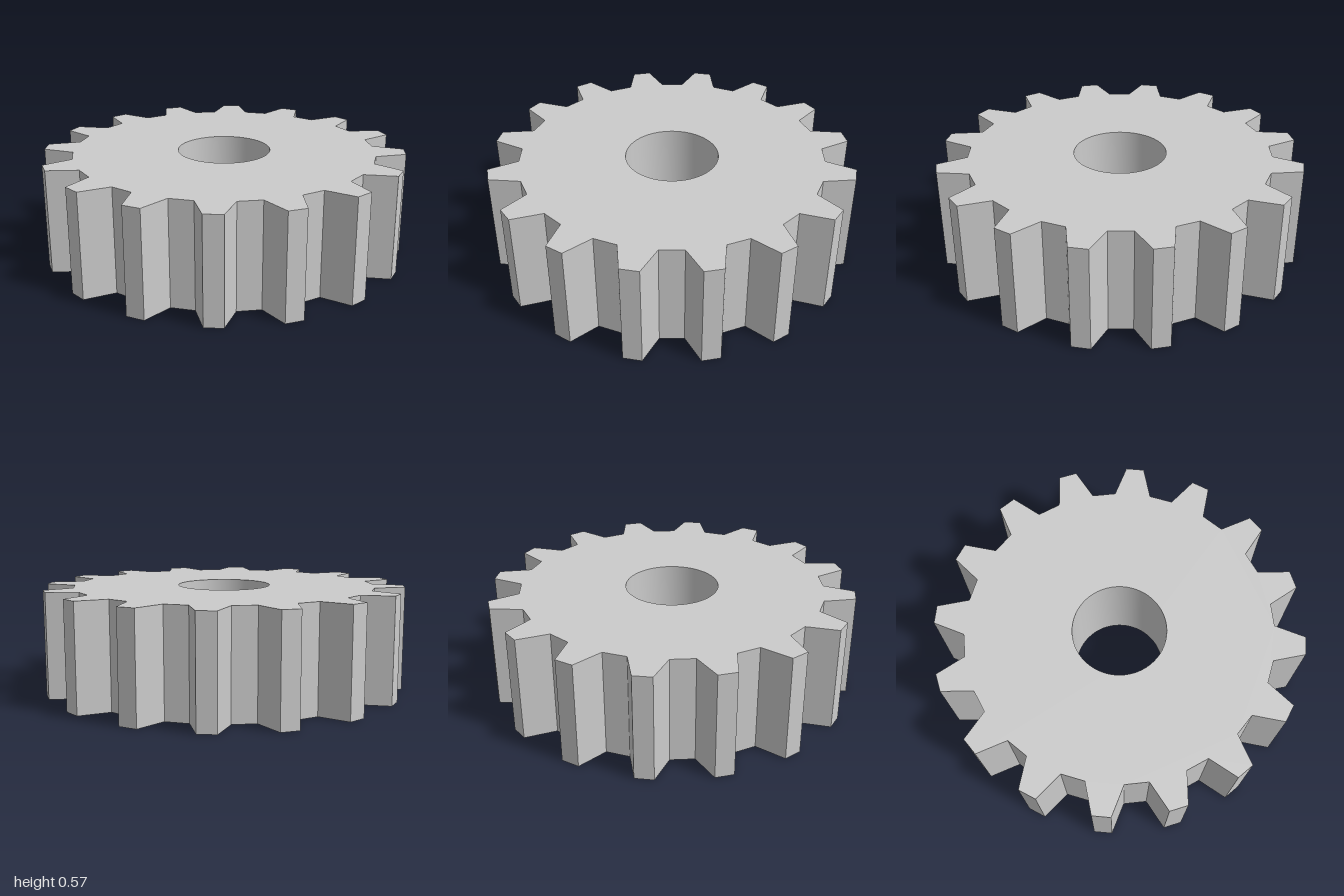
import * as THREE from 'three';
import { toCreasedNormals } from 'three/addons/utils/BufferGeometryUtils.js';

const TEETH = 16;
const HEIGHT = 0.575;
const BORE_RADIUS = 0.255;

// Half of one tooth as [sideways, outward] from the wheel centre
const ROOT = [0.1, 0.83];
const TIP = [0.05, 1];

export function createModel() {
  const group = new THREE.Group();
  group.name = 'spurGear';

  // Toothed outline: straight flanks, flat tips and flat gaps
  const points = [];
  for (let i = 0; i < TEETH; i++) {
    const angle = (i / TEETH) * Math.PI * 2;
    const out = new THREE.Vector2(Math.cos(angle), Math.sin(angle));
    const side = new THREE.Vector2(-out.y, out.x);
    for (const [sign, [s, r]] of [[-1, ROOT], [-1, TIP], [1, TIP], [1, ROOT]]) {
      points.push(out.clone().multiplyScalar(r).addScaledVector(side, sign * s));
    }
  }
  const outline = new THREE.Shape(points);

  // Round shaft hole
  const bore = new THREE.Path();
  bore.absarc(0, 0, BORE_RADIUS, 0, Math.PI * 2, true);
  outline.holes.push(bore);

  // Gear body standing on the ground, with a smooth bore and sharp teeth
  const body = new THREE.ExtrudeGeometry(outline, { depth: HEIGHT, bevelEnabled: false, curveSegments: 32 });
  body.rotateX(-Math.PI / 2);
  const gear = new THREE.Mesh(
    toCreasedNormals(body, Math.PI / 9),
    new THREE.MeshStandardMaterial({ color: 0xcccccc })
  );
  gear.name = 'gearWheel';
  group.add(gear);

  return group;
}
